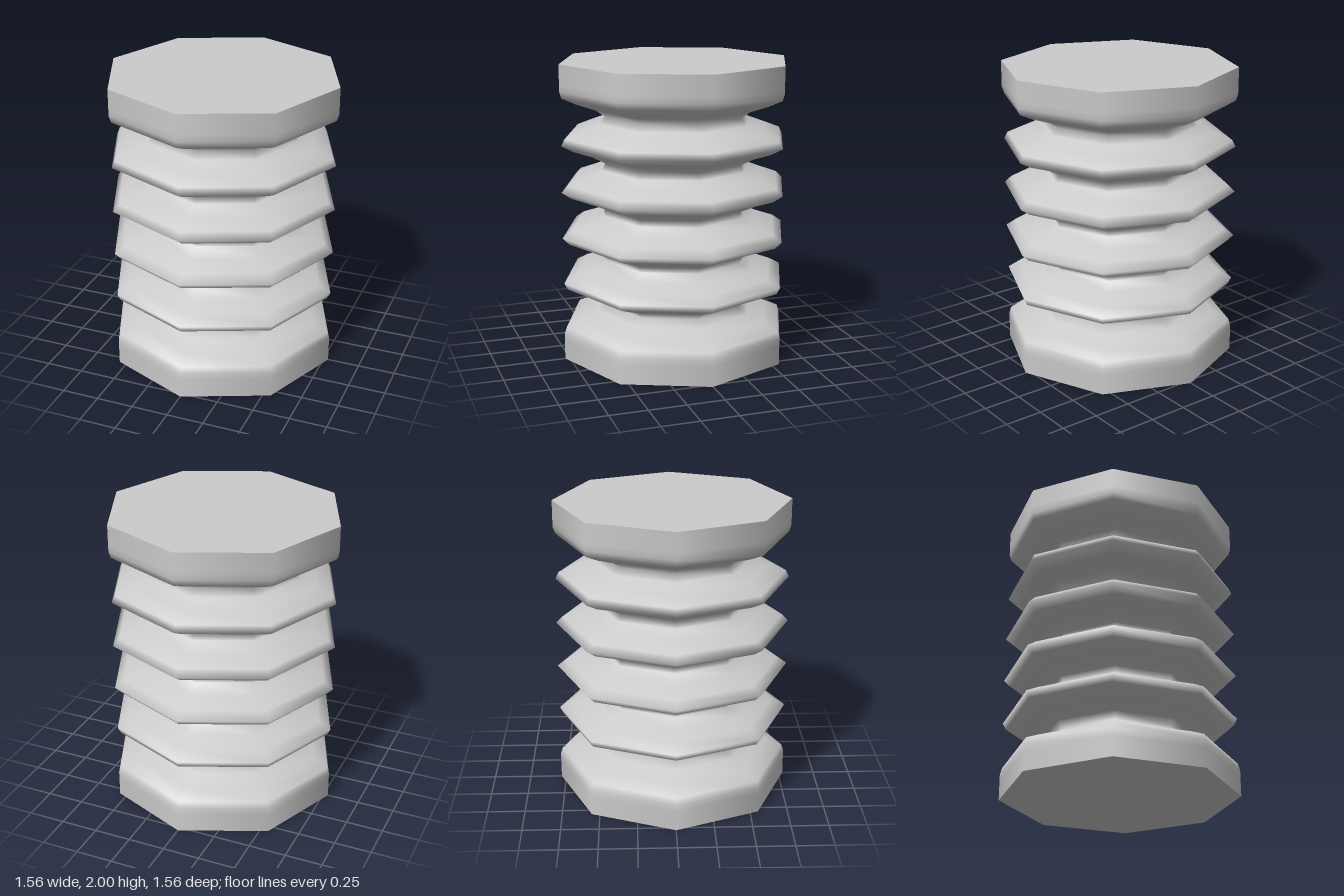
import * as THREE from 'three';

const SIDES = 8, ROWS = 45, HEIGHT = 2;
const MEAN = 0.63, SWING = 0.152, PITCH = 0.32;
const RADIUS = MEAN + SWING;

// Radius at a height: a cosine wave of pleats between two straight collars
function radiusAt(y) {
  const d = y - HEIGHT / 2;
  if (Math.abs(d) > 2.5 * PITCH) return RADIUS;
  return MEAN - SWING * Math.cos((2 * Math.PI * d) / PITCH);
}

export function createModel() {
  const group = new THREE.Group();
  group.name = 'bellows';
  const material = new THREE.MeshStandardMaterial({ color: 0xcccccc });

  // Pleated octagonal wall, smooth shaded, with its corners on the x and z axes
  const profile = [];
  for (let i = 0; i <= ROWS; i++) {
    const y = (HEIGHT * i) / ROWS;
    profile.push(new THREE.Vector2(radiusAt(y), y));
  }
  const wall = new THREE.Mesh(new THREE.LatheGeometry(profile, SIDES), material);
  wall.name = 'pleatedWall';
  group.add(wall);

  // Flat end plates, kept separate so their rims stay sharp
  for (const [name, y, tilt] of [['topPlate', HEIGHT, -1], ['bottomPlate', 0, 1]]) {
    const plate = new THREE.Mesh(new THREE.CircleGeometry(RADIUS, SIDES), material);
    plate.name = name;
    plate.rotation.x = (tilt * Math.PI) / 2;
    plate.position.y = y;
    group.add(plate);
  }
  return group;
}
